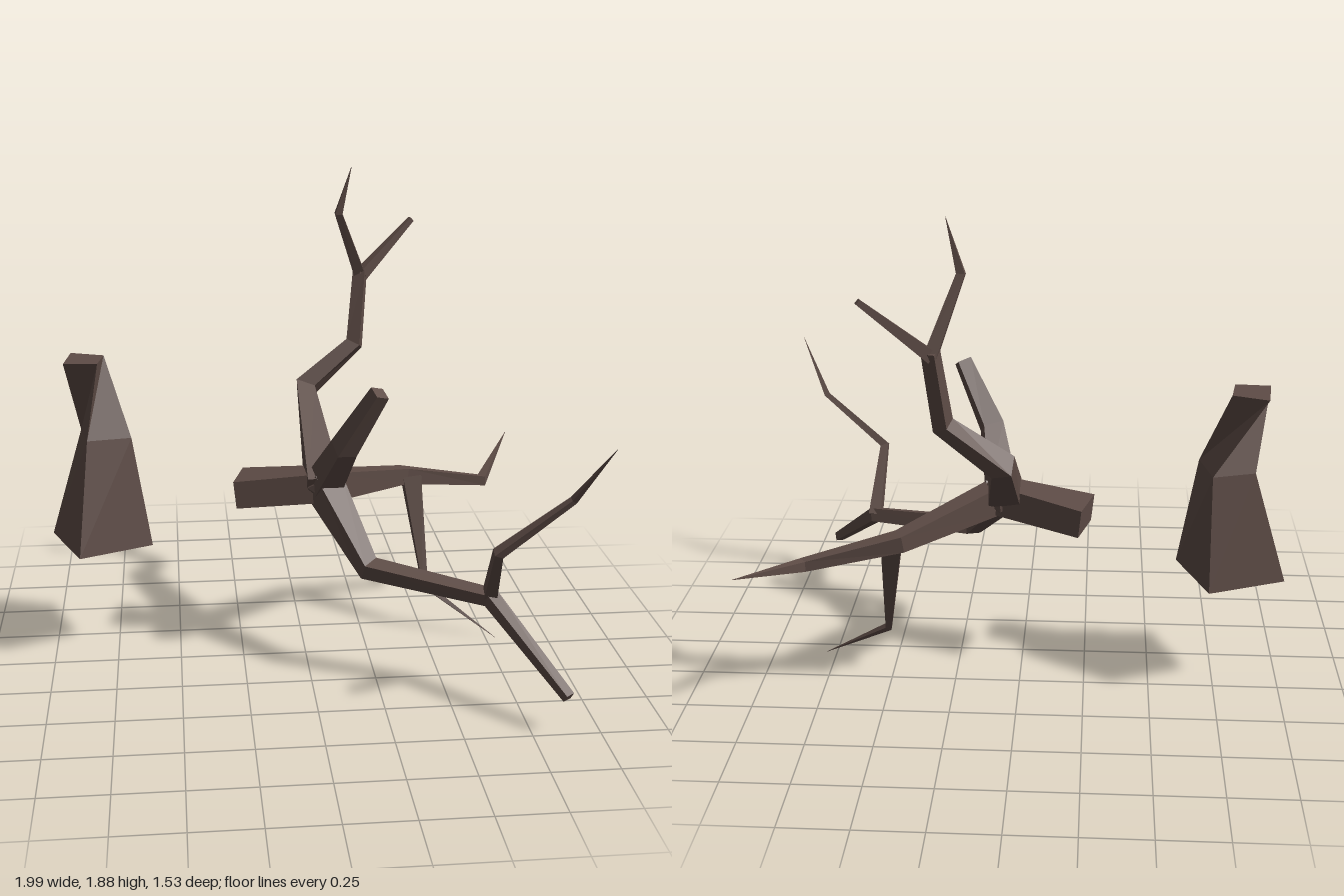
import * as THREE from 'three';

const V = (x, y, z) => new THREE.Vector3(x, y, z);

// Skins a list of four-cornered rings and caps both ends
function loft(rings) {
  const pos = [];
  const tri = (a, b, c) => pos.push(...a.toArray(), ...b.toArray(), ...c.toArray());
  for (let r = 0; r < rings.length - 1; r++) {
    const a = rings[r], b = rings[r + 1];
    for (let i = 0; i < 4; i++) {
      const j = (i + 1) % 4;
      tri(a[i], a[j], b[j]);
      tri(a[i], b[j], b[i]);
    }
  }
  const s = rings[0], e = rings[rings.length - 1];
  tri(s[0], s[2], s[1]); tri(s[0], s[3], s[2]);
  tri(e[0], e[1], e[2]); tri(e[0], e[2], e[3]);
  const g = new THREE.BufferGeometry();
  g.setAttribute('position', new THREE.Float32BufferAttribute(pos, 3));
  g.computeVertexNormals();
  return g;
}

// Square-section limb; each stop is [x, y, z, width, optional second width]
function limb(stops) {
  const p = stops.map(s => V(s[0], s[1], s[2]));
  const n = p.length;
  let u = null;
  const rings = p.map((c, i) => {
    const t = V(0, 0, 0);
    if (i > 0) t.add(c.clone().sub(p[i - 1]).normalize());
    if (i < n - 1) t.add(p[i + 1].clone().sub(c).normalize());
    t.normalize();
    if (!u) u = Math.abs(t.y) > 0.8 ? V(1, 0, 0) : V(0, 1, 0);
    u = u.clone().addScaledVector(t, -u.dot(t)).normalize();
    const v = t.clone().cross(u);
    const h = stops[i][3] / 2, w = (stops[i][4] ?? stops[i][3]) / 2;
    return [[1, 1], [-1, 1], [-1, -1], [1, -1]].map(([a, b]) =>
      c.clone().addScaledVector(u, a * h).addScaledVector(v, b * w));
  });
  return loft(rings);
}

export function createModel() {
  const model = new THREE.Group();
  model.name = 'deadTree';
  const bark = new THREE.MeshStandardMaterial({ color: 0x5e4c46, flatShading: true });
  const add = (name, geometry) => {
    const m = new THREE.Mesh(geometry, bark);
    m.name = name;
    model.add(m);
    return m;
  };

  // Separate leaning trunk
  const ring = (y, pts) => pts.map(([x, z]) => V(x, y, z));
  add('trunk', loft([
    ring(0.465, [[-1, -0.25], [-0.88, 0.04], [-0.6, -0.08], [-0.71, -0.37]]),
    ring(0.9, [[-0.87, -0.25], [-0.84, -0.09], [-0.67, -0.12], [-0.71, -0.3]]),
    ring(1.2, [[-0.92, -0.13], [-0.79, -0.12], [-0.77, -0.25], [-0.9, -0.3]]),
  ]));

  // Knot where all limbs meet
  const knot = add('knot', new THREE.IcosahedronGeometry(0.085, 0));
  knot.position.set(0.08, 0.71, -0.05);

  const limbs = {
    brokenStub: [[0.1, 0.71, -0.05, 0.12, 0.11], [-0.25, 0.67, -0.145, 0.11, 0.18]],
    shortStub: [[0.08, 0.72, -0.04, 0.11], [0.13, 0.92, 0.15, 0.08], [0.25, 1.16, 0.24, 0.055]],
    // Rear limb and its fork
    rearLimb: [[0.07, 0.7, -0.02, 0.13], [0.045, 0.99, -0.465, 0.08],
      [0.25, 1.16, -0.51, 0.06], [0.28, 1.45, -0.58, 0.05]],
    rearTwigTall: [[0.28, 1.43, -0.58, 0.045], [0.18, 1.7, -0.5, 0.03], [0.23, 1.89, -0.49, 0.001]],
    rearTwigShort: [[0.28, 1.43, -0.575, 0.045], [0.505, 1.645, -0.675, 0.02]],
    // Front limb and its twig
    frontLimb: [[0.07, 0.72, -0.05, 0.12], [0.22, 0.46, 0.22, 0.07],
      [0.65, 0.41, 0.42, 0.055], [0.875, 0.155, 0.745, 0.035]],
    frontTwig: [[0.65, 0.41, 0.41, 0.05], [0.63, 0.66, 0.6, 0.035],
      [0.88, 0.87, 0.645, 0.022], [0.99, 1.09, 0.755, 0.001]],
    // Side limb and its drooping twig
    sideLimb: [[0.07, 0.71, -0.03, 0.12, 0.09], [0.44, 0.635, -0.34, 0.065],
      [0.79, 0.57, -0.425, 0.04], [0.965, 0.67, -0.765, 0.001]],
    droopingTwig: [[0.47, 0.63, -0.33, 0.075], [0.515, 0.2, -0.19, 0.025], [0.79, 0.01, -0.06, 0.001]],
  };
  for (const [name, stops] of Object.entries(limbs)) add(name, limb(stops));

  return model;
}
